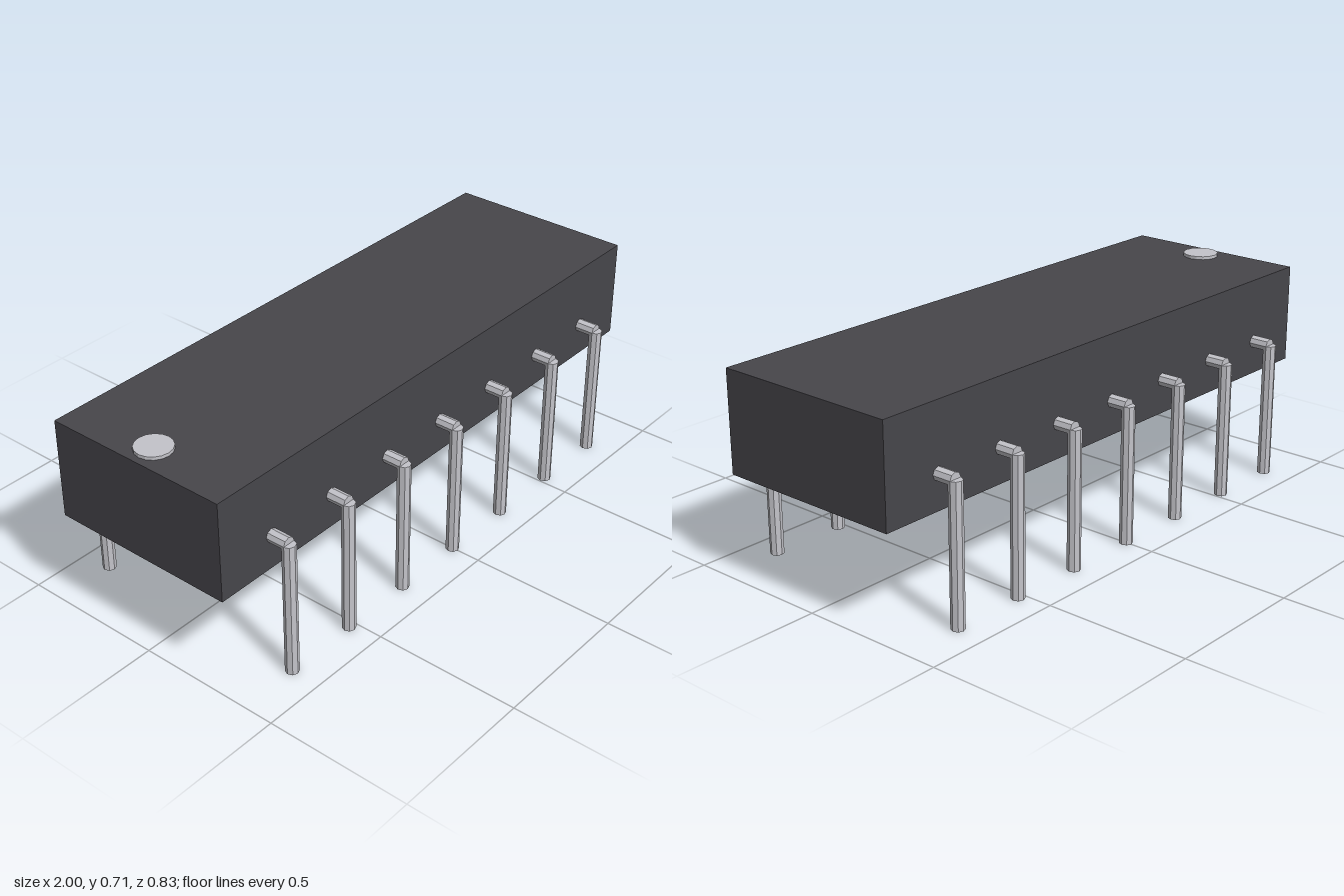
import * as THREE from 'three';

const bodyMaterial = new THREE.MeshStandardMaterial({ color: 0x47464b });
bodyMaterial.name = 'dark casing';
const metalMaterial = new THREE.MeshStandardMaterial({ color: 0xc4c4ca, flatShading: true });
metalMaterial.name = 'light metal';

const PIN_RADIUS = 0.0225;
const BEND_Y = 0.472;
const LEG_Z = 0.395;
const PIN_COUNT = 7;
const PIN_SPACING = 0.263;

function addMesh(parent, name, geometry, material, x, y, z) {
  const mesh = new THREE.Mesh(geometry, material);
  mesh.name = name;
  mesh.position.set(x, y, z);
  parent.add(mesh);
  return mesh;
}

export function createModel() {
  const model = new THREE.Group();
  model.name = 'chip';

  // Casing block
  addMesh(model, 'casing', new THREE.BoxGeometry(2, 0.34, 0.656), bodyMaterial, 0, 0.525, 0);

  // Raised orientation dot on top
  addMesh(model, 'orientationDot', new THREE.CylinderGeometry(0.061, 0.061, 0.021, 16),
    metalMaterial, -0.917, 0.6955, 0);

  // Bent pins: a vertical leg and a horizontal arm entering the casing
  const armStart = 0.3;
  const legGeometry = new THREE.CylinderGeometry(PIN_RADIUS, PIN_RADIUS, BEND_Y, 8);
  const armGeometry = new THREE.CylinderGeometry(PIN_RADIUS, PIN_RADIUS, LEG_Z - armStart, 8);
  armGeometry.rotateX(Math.PI / 2);

  for (const side of [1, -1]) {
    for (let i = 0; i < PIN_COUNT; i++) {
      const pin = new THREE.Group();
      pin.name = side > 0 ? 'frontPin' : 'backPin';
      pin.position.x = (i - (PIN_COUNT - 1) / 2) * PIN_SPACING;
      addMesh(pin, 'leg', legGeometry, metalMaterial, 0, BEND_Y / 2, side * LEG_Z);
      addMesh(pin, 'arm', armGeometry, metalMaterial, 0, BEND_Y, side * (LEG_Z + armStart) / 2);
      model.add(pin);
    }
  }
  return model;
}
